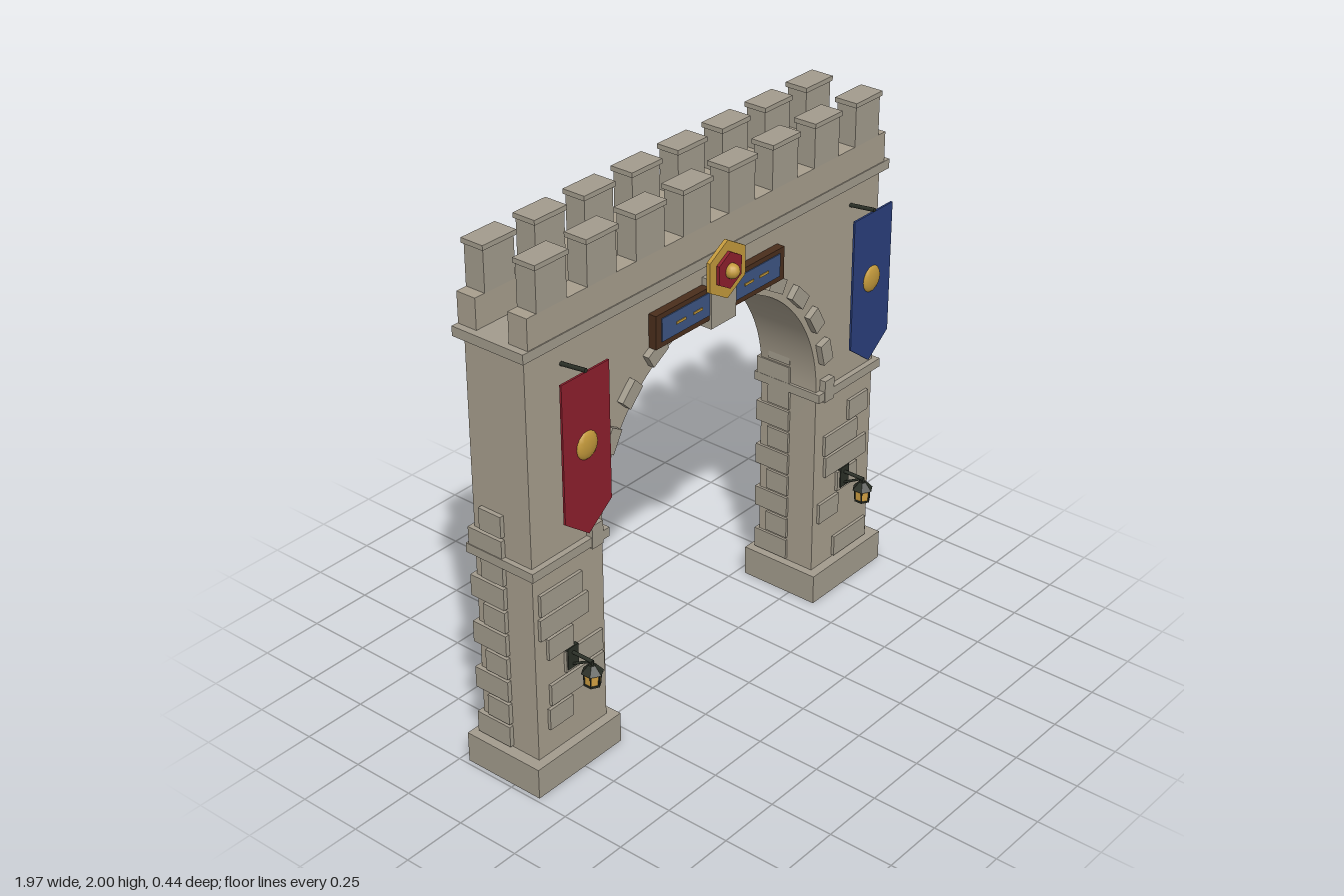
import * as THREE from 'three';
import { toCreasedNormals } from 'three/addons/utils/BufferGeometryUtils.js';

const mat = (name, color) => {
  const m = new THREE.MeshStandardMaterial({ color });
  m.name = name;
  return m;
};

export function createModel() {
  const wallStone = mat('wall stone', 0xa89f8e);
  const trimStone = mat('trim stone', 0xa39c8d);
  const red = mat('red cloth', 0x8e1f2d);
  const blue = mat('blue cloth', 0x2a3f7c);
  const panelBlue = mat('panel blue', 0x3d5583);
  const gold = mat('gold', 0xc49a3c);
  const wood = mat('dark wood', 0x4a2e1c);
  const iron = mat('dark iron', 0x2a2f26);
  const glow = mat('lantern glass', 0xcf9f42);

  const model = new THREE.Group();
  model.name = 'castleGate';

  const add = (parent, name, geo, material, x = 0, y = 0, z = 0) => {
    const mesh = new THREE.Mesh(geo, material);
    mesh.name = name;
    mesh.position.set(x, y, z);
    parent.add(mesh);
    return mesh;
  };
  // Box given by its extents on each axis
  const block = (parent, name, material, x0, x1, y0, y1, z0, z1) =>
    add(parent, name, new THREE.BoxGeometry(Math.abs(x1 - x0), y1 - y0, z1 - z0), material,
      (x0 + x1) / 2, (y0 + y1) / 2, (z0 + z1) / 2);
  // Round bar between two points
  const bar = (parent, name, a, b, r, material) => {
    const p = new THREE.Vector3(...a), q = new THREE.Vector3(...b);
    const mesh = add(parent, name, new THREE.CylinderGeometry(r, r, p.distanceTo(q), 8), material);
    mesh.position.copy(p).add(q).multiplyScalar(0.5);
    mesh.quaternion.setFromUnitVectors(new THREE.Vector3(0, 1, 0), q.sub(p).normalize());
    return mesh;
  };

  const FRONT = 0.08, BACK = -0.175, SPRING = 0.9, RADIUS = 0.593;

  // Wall with arched opening
  const outline = new THREE.Shape();
  outline.moveTo(-0.94, 0.1);
  outline.lineTo(-RADIUS, 0.1);
  outline.lineTo(-RADIUS, SPRING);
  outline.absarc(0, SPRING, RADIUS, Math.PI, 0, true);
  outline.lineTo(RADIUS, 0.1);
  outline.lineTo(0.94, 0.1);
  outline.lineTo(0.94, 1.69);
  outline.lineTo(-0.94, 1.69);
  const wallGeo = new THREE.ExtrudeGeometry(outline, { depth: FRONT - BACK, bevelEnabled: false, curveSegments: 32 });
  add(model, 'archWall', toCreasedNormals(wallGeo, 0.5), wallStone, 0, 0, BACK);

  // Plinths, imposts and quoins of both piers
  for (const s of [-1, 1]) {
    const pier = new THREE.Group();
    pier.name = s > 0 ? 'leftPier' : 'rightPier';
    model.add(pier);
    block(pier, 'plinth', trimStone, s * 0.56, s * 0.984, 0, 0.12, -0.217, 0.117);
    block(pier, 'impost', trimStone, s * 0.582, s * 0.96, 0.865, 0.9, -0.2, 0.103);
    for (let i = 0; i < 10; i++) {
      const y = 0.128 + i * 0.0945, back = i % 2 ? -0.137 : -0.19;
      block(pier, 'outerQuoin', trimStone, s * 0.925, s * 0.957, y, y + 0.083, back, -0.038);
      block(pier, 'innerQuoin', trimStone, s * 0.583, s * 0.612, y, y + 0.083, back, -0.038);
    }
  }

  // Raised face stones: [course, x start, x end]
  const frontStones = [
    [6, -0.915, -0.71], [5, -0.92, -0.683], [4, -0.884, -0.762], [3, -0.8, -0.614], [2, -0.878, -0.61], [1, -0.889, -0.772],
    [6, 0.79, 0.907], [5, 0.645, 0.847], [4, 0.652, 0.907], [3, 0.73, 0.852], [2, 0.62, 0.74], [0, 0.72, 0.922],
  ];
  const backStones = [
    [6, 0.67, 0.92], [5, 0.63, 0.84], [4, 0.73, 0.85], [3, 0.63, 0.8], [1, 0.69, 0.83], [0, 0.66, 0.85],
    [6, -0.89, -0.64], [5, -0.9, -0.67], [4, -0.88, -0.7], [2, -0.91, -0.64], [1, -0.91, -0.64],
  ];
  const layStones = (list, name, z0, z1) => {
    for (const [row, a, b] of list) {
      const y = 0.128 + row * 0.0955;
      block(model, name, trimStone, a, b, y, y + 0.084, z0, z1);
    }
  };
  layStones(frontStones, 'frontStone', FRONT - 0.02, FRONT + 0.012);
  layStones(backStones, 'backStone', BACK - 0.012, BACK + 0.02);

  // Arch stones and keystone
  for (let i = 0; i <= 12; i++) {
    if (i === 6) continue;
    const a = i * Math.PI / 12;
    const v = add(model, 'archStone', new THREE.BoxGeometry(0.055, 0.09, 0.045), trimStone,
      Math.cos(a) * 0.643, SPRING + Math.sin(a) * 0.643, 0.083);
    v.rotation.z = a;
  }
  block(model, 'keystone', trimStone, -0.067, 0.067, 1.445, 1.63, 0.06, 0.121);

  // Cornice, parapets and merlons
  block(model, 'cornice', trimStone, -0.967, 0.967, 1.68, 1.716, -0.203, 0.104);
  for (const [name, zc] of [['front', 0.06], ['back', -0.16]]) {
    block(model, name + 'Parapet', wallStone, -0.94, 0.94, 1.71, 1.83, zc - 0.04, zc + 0.04);
    for (let i = 0; i < 8; i++) {
      const x = (i - 3.5) * 0.236;
      block(model, name + 'Merlon', trimStone, x - 0.07, x + 0.07, 1.83, 1.985, zc - 0.041, zc + 0.041);
      block(model, name + 'MerlonCap', trimStone, x - 0.077, x + 0.077, 1.982, 2, zc - 0.047, zc + 0.047);
    }
  }

  // Sign board with gold dashes
  block(model, 'signBoard', wood, -0.343, 0.343, 1.477, 1.602, 0.07, 0.112);
  block(model, 'signPanel', panelBlue, -0.316, 0.316, 1.498, 1.584, 0.111, 0.116);
  for (const x of [-0.22, -0.132, 0.142, 0.224])
    block(model, 'signDash', gold, x - 0.024, x + 0.024, 1.536, 1.545, 0.115, 0.119);

  // Hexagonal crest
  const hexPlate = (name, r, z0, z1, material) => {
    const geo = new THREE.CylinderGeometry(r, r, z1 - z0, 6).toNonIndexed();
    geo.rotateX(Math.PI / 2);
    geo.computeVertexNormals();
    add(model, name, geo, material, 0, 1.652, (z0 + z1) / 2);
  };
  hexPlate('crestRim', 0.109, 0.122, 0.137, gold);
  hexPlate('crestField', 0.069, 0.13, 0.149, red);
  block(model, 'crestMount', trimStone, -0.03, 0.03, 1.62, 1.68, 0.07, 0.125);
  add(model, 'crestBoss', new THREE.SphereGeometry(0.028, 12, 8), gold, 0, 1.652, 0.156);

  // Banner outline with pointed foot
  const cloth = new THREE.Shape();
  [[-0.113, 1.6], [-0.113, 1.085], [0, 1], [0.113, 1.085], [0.113, 1.6]]
    .forEach(([x, y], i) => (i ? cloth.lineTo(x, y) : cloth.moveTo(x, y)));
  const clothGeo = new THREE.ExtrudeGeometry(cloth, { depth: 0.008, bevelEnabled: false });

  for (const s of [-1, 1]) {
    // Banner with rod and emblem
    const banner = new THREE.Group();
    banner.name = s > 0 ? 'leftBanner' : 'rightBanner';
    banner.position.x = s * 0.77;
    model.add(banner);
    add(banner, 'bannerCloth', clothGeo, s > 0 ? blue : red, 0, 0, 0.176);
    bar(banner, 'bannerRod', [0, 1.595, 0.07], [0, 1.608, 0.187], 0.008, iron);
    const emblem = add(banner, 'bannerEmblem', new THREE.SphereGeometry(0.052, 12, 8), gold, 0, 1.335, 0.182);
    emblem.scale.z = 0.3;

    // Wall lantern
    const lantern = new THREE.Group();
    lantern.name = s > 0 ? 'leftLantern' : 'rightLantern';
    lantern.position.set(s * 0.77, 0, 0.181);
    model.add(lantern);
    block(lantern, 'bracketPlate', iron, -0.026, 0.026, 0.425, 0.51, -0.105, -0.085);
    bar(lantern, 'bracketArm', [0, 0.486, -0.1], [0, 0.486, 0.004], 0.007, iron);
    bar(lantern, 'bracketBrace', [0, 0.437, -0.09], [0, 0.48, -0.012], 0.005, iron);
    const faceted = (name, r0, r1, h, y, material) => {
      const geo = new THREE.CylinderGeometry(r0, r1, h, 6).toNonIndexed();
      geo.computeVertexNormals();
      add(lantern, name, geo, material, 0, y, 0);
    };
    faceted('lanternGlass', 0.03, 0.028, 0.046, 0.422, glow);
    faceted('lanternFoot', 0.032, 0.032, 0.007, 0.397, iron);
    faceted('lanternRoof', 0.014, 0.041, 0.03, 0.459, iron);
    faceted('lanternHook', 0.007, 0.007, 0.018, 0.48, iron);
    for (let i = 0; i < 6; i++) {
      const a = i * Math.PI / 3;
      bar(lantern, 'lanternBar', [Math.sin(a) * 0.029, 0.395, Math.cos(a) * 0.029],
        [Math.sin(a) * 0.031, 0.447, Math.cos(a) * 0.031], 0.003, iron);
    }
  }
  return model;
}
